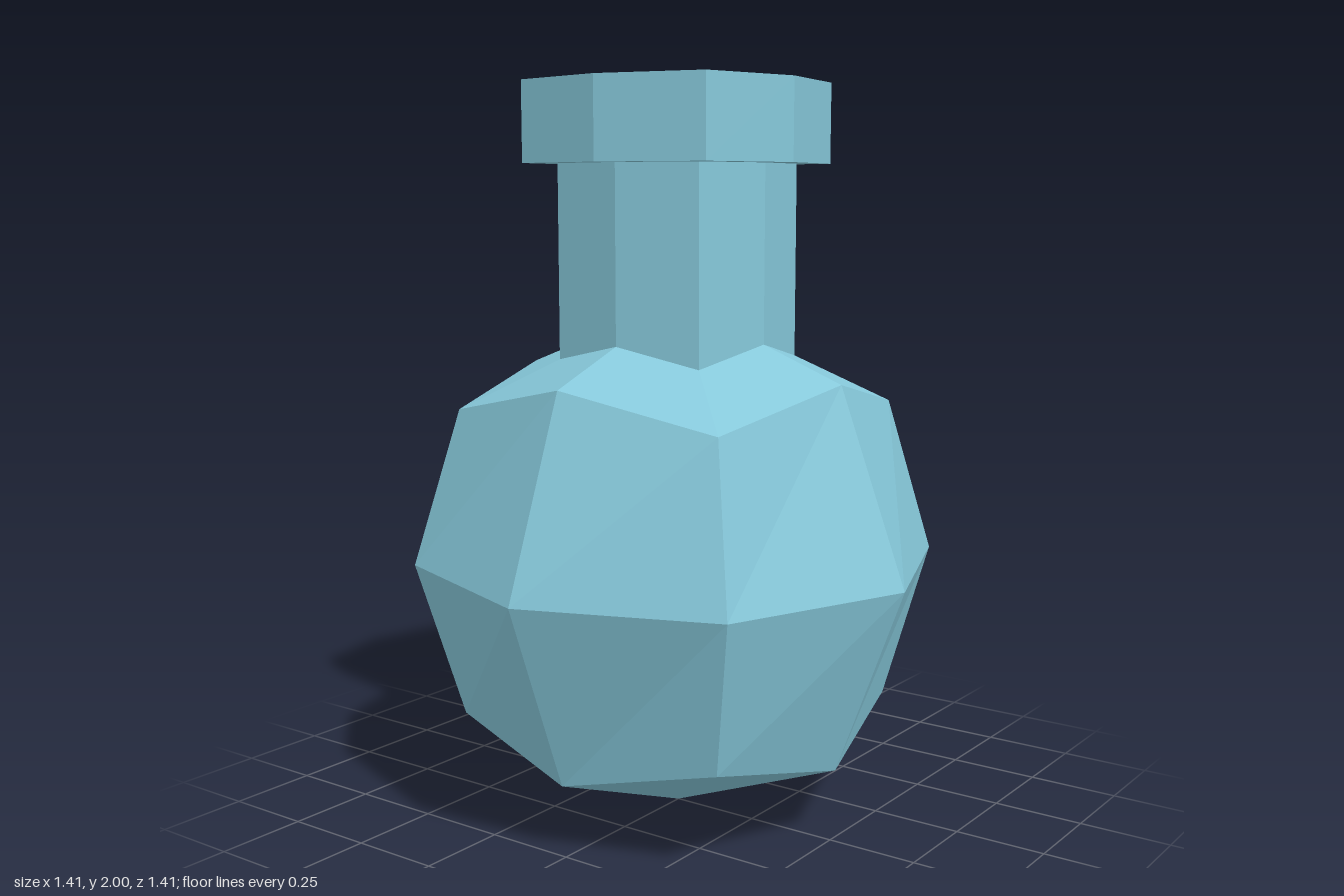
import * as THREE from 'three';

const glaze = new THREE.MeshStandardMaterial({ color: 0x86c8da });
glaze.name = 'blueGlaze';

// Eight-sided ring: four points on the axes, four on the diagonals (corner = x and z distance)
function ring(axis, axisY, corner = axis, cornerY = axisY, shiftZ = 0) {
  const points = [];
  for (let i = 0; i < 8; i++) {
    const a = (i * Math.PI) / 4;
    const diagonal = i % 2 === 1;
    const r = diagonal ? corner * Math.SQRT2 : axis;
    points.push(new THREE.Vector3(Math.cos(a) * r, diagonal ? cornerY : axisY, Math.sin(a) * r + shiftZ));
  }
  return points;
}

// Joins successive rings with flat facets
function loft(name, rings) {
  const facets = [];
  const triangle = new THREE.Triangle();
  const add = (a, b, c) => {
    if (triangle.set(a, b, c).getArea() > 1e-7) facets.push(a, b, c);
  };
  for (let k = 0; k < rings.length - 1; k++) {
    for (let i = 0; i < 8; i++) {
      const j = (i + 1) % 8;
      const [a, b, c, d] = [rings[k][i], rings[k][j], rings[k + 1][j], rings[k + 1][i]];
      add(a, d, b);
      add(b, d, c);
    }
  }
  const geometry = new THREE.BufferGeometry().setFromPoints(facets);
  geometry.computeVertexNormals();
  const mesh = new THREE.Mesh(geometry, glaze);
  mesh.name = name;
  return mesh;
}

export function createModel() {
  const model = new THREE.Group();
  model.name = 'flask';

  // Faceted bulb, shaped like a rounded cube with two facets per edge
  model.add(loft('body', [
    ring(0, 0),
    ring(0.512, 0.197, 0.421, 0.288),
    ring(0.706, 0.711, 0.512, 0.711),
    ring(0.512, 1.225, 0.421, 1.135),
    ring(0.276, 1.315, 0.229, 1.265),
  ]));

  // Straight neck rising from the shoulder
  model.add(loft('neck', [
    ring(0.276, 1.315, 0.229, 1.265),
    ring(0.276, 1.785, 0.229, 1.785),
  ]));

  // Thick lip with a shallow recess, its floor set slightly forward
  model.add(loft('lip', [
    ring(0.276, 1.785, 0.229, 1.785),
    ring(0.361, 1.785, 0.295, 1.785),
    ring(0.361, 2, 0.295, 2),
    ring(0.273, 2, 0.223, 2),
    ring(0.273, 1.935, 0.223, 1.935, 0.05),
    ring(0, 1.935, 0, 1.935, 0.05),
  ]));

  return model;
}
